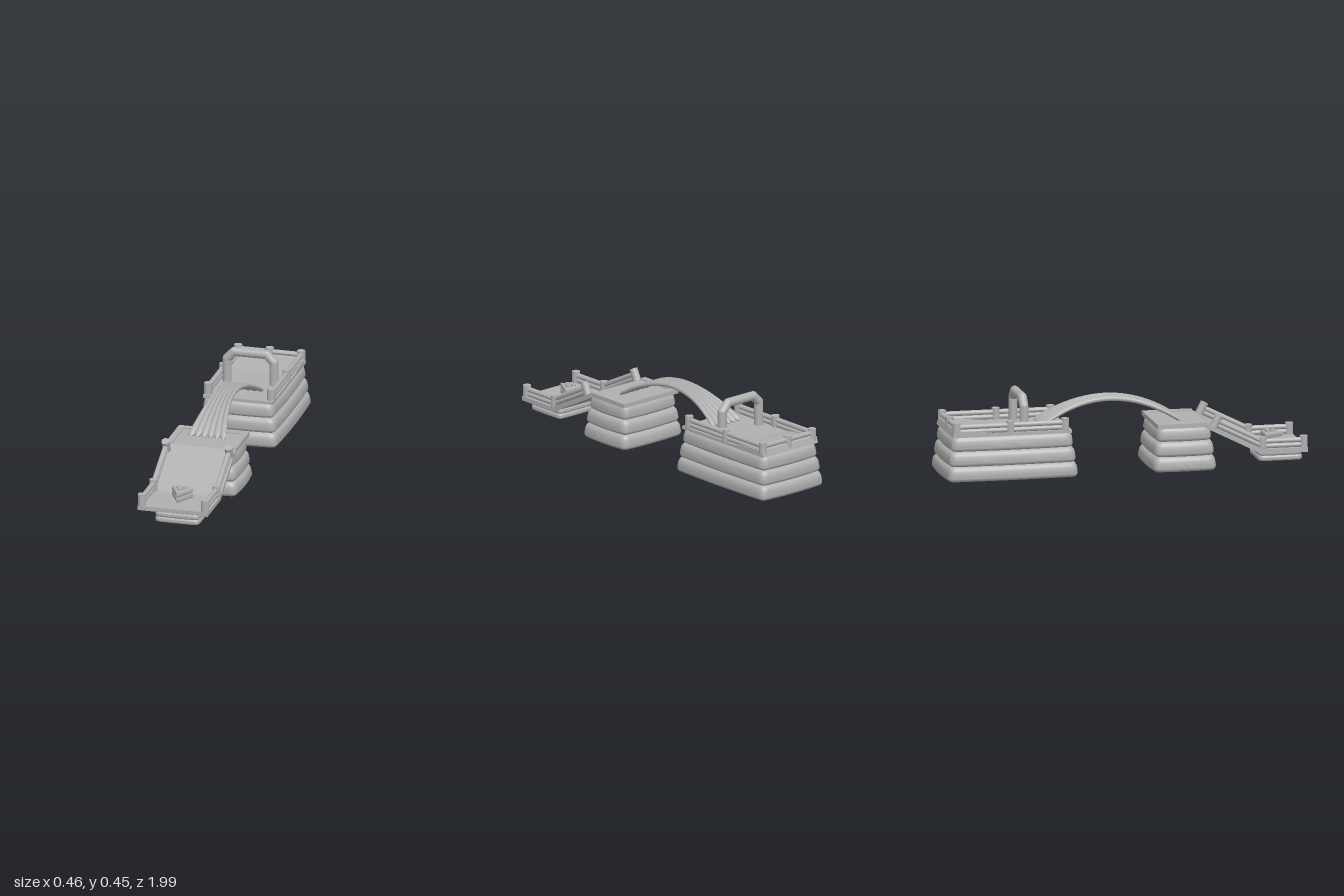
import * as THREE from 'three';
import { toCreasedNormals } from 'three/addons/utils/BufferGeometryUtils.js';
import { ParametricGeometry } from 'three/addons/geometries/ParametricGeometry.js';

const grey = new THREE.MeshStandardMaterial({ color: 0xb0b0b0 });
grey.name = 'inflatable grey';

const V = (x, y, z) => new THREE.Vector3(x, y, z);

function add(parent, name, geometry) {
  const mesh = new THREE.Mesh(geometry, grey);
  mesh.name = name;
  parent.add(mesh);
  return mesh;
}

function subgroup(parent, name) {
  const g = new THREE.Group();
  g.name = name;
  parent.add(g);
  return g;
}

// Rounded rectangle whose sides swell outwards
function swollenRect(w, d, r, bulge) {
  const X = w / 2 - bulge, Y = d / 2 - bulge, B = bulge * 2;
  return new THREE.Shape()
    .moveTo(-X + r, -Y)
    .quadraticCurveTo(0, -Y - B, X - r, -Y).quadraticCurveTo(X, -Y, X, -Y + r)
    .quadraticCurveTo(X + B, 0, X, Y - r).quadraticCurveTo(X, Y, X - r, Y)
    .quadraticCurveTo(0, Y + B, -X + r, Y).quadraticCurveTo(-X, Y, -X, Y - r)
    .quadraticCurveTo(-X - B, 0, -X, -Y + r).quadraticCurveTo(-X, -Y, -X + r, -Y);
}

// Outline extruded upwards with round edges, narrowing by `taper` at the top
function cushion(shape, h, bevel, taper = 0) {
  const g = new THREE.ExtrudeGeometry(shape, {
    depth: h - 2 * bevel, bevelThickness: bevel, bevelSize: bevel,
    bevelOffset: -bevel, bevelSegments: 5, curveSegments: 8,
  });
  g.translate(0, 0, bevel).rotateX(-Math.PI / 2);
  const p = g.attributes.position;
  for (let i = 0; i < p.count; i++) {
    const k = taper * p.getY(i) / h;
    p.setX(i, p.getX(i) - Math.sign(p.getX(i)) * Math.min(k, Math.abs(p.getX(i))));
    p.setZ(i, p.getZ(i) - Math.sign(p.getZ(i)) * Math.min(k, Math.abs(p.getZ(i))));
  }
  return toCreasedNormals(g, 0.6);
}

// Round bar between two points
function bar(parent, name, a, b, r, sides = 16) {
  const dir = b.clone().sub(a);
  const mesh = add(parent, name, new THREE.CylinderGeometry(r, r, dir.length(), sides));
  mesh.position.copy(a).lerp(b, 0.5);
  mesh.quaternion.setFromUnitVectors(V(0, 1, 0), dir.normalize());
}

// Two stacked rails between two foot points
function rails(parent, a, b) {
  for (const h of [0.015, 0.041])
    bar(parent, 'rail', a.clone().add(V(0, h, 0)), b.clone().add(V(0, h, 0)), 0.014, 12);
}

// Side profile in (z, y), extruded across the width
function slab(parent, name, pts, width) {
  const shape = new THREE.Shape(pts.map(([z, y]) => new THREE.Vector2(-z, y)));
  const g = new THREE.ExtrudeGeometry(shape, { depth: width, bevelEnabled: false });
  g.translate(0, 0, -width / 2).rotateY(Math.PI / 2);
  // local x is -z after turning
  return add(parent, name, g);
}

// Three tapering air-filled tiers
function base(parent, name, w, d, z) {
  const g = subgroup(parent, name);
  for (let i = 0; i < 3; i++) {
    const inset = [0, 0.02, 0.045][i];
    const tier = add(g, 'tier', cushion(swollenRect(w - inset, d - inset, 0.045, 0.008), 0.086, 0.03, 0.012));
    tier.position.set(0, i * 0.08, z);
  }
}

export function createModel() {
  const model = new THREE.Group();
  model.name = 'inflatable course';

  base(model, 'rearBase', 0.468, 0.74, -0.63);
  base(model, 'middleBase', 0.45, 0.37, 0.315);

  // Rear deck with a gently raised back
  const rear = subgroup(model, 'rearDeck');
  slab(rear, 'deck', [[-0.305, 0.24], [-0.305, 0.257], [-0.73, 0.257], [-0.79, 0.266],
    [-0.86, 0.272], [-0.95, 0.274], [-0.96, 0.24]], 0.39);
  const P = 0.175;
  for (const s of [-1, 1]) {
    for (const z of [-0.34, -0.64, -0.935])
      bar(rear, 'post', V(s * P, 0.25, z), V(s * P, 0.319, z), 0.022);
    rails(rear, V(s * P, 0.255, -0.34), V(s * P, 0.255, -0.935));
  }
  bar(rear, 'post', V(0, 0.25, -0.935), V(0, 0.319, -0.935), 0.022);
  rails(rear, V(-P, 0.255, -0.935), V(P, 0.255, -0.935));

  // Arch over the rear deck
  const arch = subgroup(model, 'arch');
  const path = [[-0.13, 0.25], [-0.13, 0.385], [-0.09, 0.427], [0.09, 0.427], [0.13, 0.385], [0.13, 0.25]]
    .map(([x, y]) => V(x, y, -0.555));
  for (let i = 0; i < 5; i++) {
    bar(arch, 'archTube', path[i], path[i + 1], 0.0245, 20);
    if (i) add(arch, 'archJoint', new THREE.SphereGeometry(0.0245, 20, 12)).position.copy(path[i]);
  }

  // Arched bridge of six tubes, waisted in the middle
  const bridge = subgroup(model, 'bridge');
  for (let i = 0; i < 6; i++) {
    add(bridge, 'bridgeTube', new ParametricGeometry((u, v, p) => {
      const t = 1 - 2 * u, a = v * Math.PI * 2;
      const step = (0.058 + 0.052 * t * t) / 3;
      const end = Math.sqrt(Math.max(0, 1 - Math.pow(t, 40)));
      p.set((i - 2.5 + 0.54 * end * Math.cos(a)) * step,
        0.258 + 0.128 * (1 - t * t) + 0.013 * end * Math.sin(a),
        -0.07 + 0.385 * t);
    }, 48, 12));
  }

  // Platform, ramp and landing in one folded slab
  const front = subgroup(model, 'slide');
  slab(front, 'slideDeck', [[0.165, 0.236], [0.165, 0.254], [0.435, 0.254], [0.745, 0.1],
    [0.99, 0.1], [0.99, 0.076], [0.735, 0.076], [0.42, 0.236]], 0.39);
  for (const s of [-1, 1]) {
    const rim = add(front, 'platformRim', new THREE.BoxGeometry(0.036, 0.008, 0.27));
    rim.position.set(s * 0.177, 0.256, 0.3);
    for (const z of [0.745, 0.97])
      bar(front, 'post', V(s * P, 0.095, z), V(s * P, 0.163, z), 0.022);
    bar(front, 'rampPost', V(s * P, 0.232, 0.475), V(s * P, 0.294, 0.507), 0.022);
    rails(front, V(s * P, 0.1, 0.745), V(s * P, 0.1, 0.97));
    rails(front, V(s * P, 0.1, 0.745), V(s * P, 0.228, 0.49));
  }
  const backRim = add(front, 'platformRim', new THREE.BoxGeometry(0.39, 0.008, 0.036));
  backRim.position.set(0, 0.256, 0.183);

  // Low cushions under the landing
  for (let i = 0; i < 2; i++) {
    const pad = add(front, 'landingCushion', cushion(swollenRect(0.25, 0.245, 0.03, 0.002), 0.031, 0.012));
    pad.position.set(0.02, 0.014 + i * 0.029, 0.862);
  }
  const neck = add(front, 'landingNeck', new THREE.BoxGeometry(0.22, 0.02, 0.21));
  neck.position.set(0.02, 0.071, 0.862);

  // Triangular target stand with three pegs
  const stand = subgroup(model, 'targetStand');
  const triangle = new THREE.Shape()
    .moveTo(-0.058, 0.05).lineTo(-0.004, -0.053).lineTo(0.004, -0.053)
    .lineTo(0.058, 0.05).lineTo(0.054, 0.055).lineTo(-0.054, 0.055).closePath();
  for (let i = 0; i < 2; i++)
    add(stand, 'standTier', cushion(triangle, 0.03, 0.008)).position.set(0, 0.099 + i * 0.028, 0.842);
  for (const [x, z] of [[-0.017, 0.812], [0.017, 0.812], [0, 0.842]])
    bar(stand, 'peg', V(x, 0.15, z), V(x, 0.167, z), 0.014);

  return model;
}
